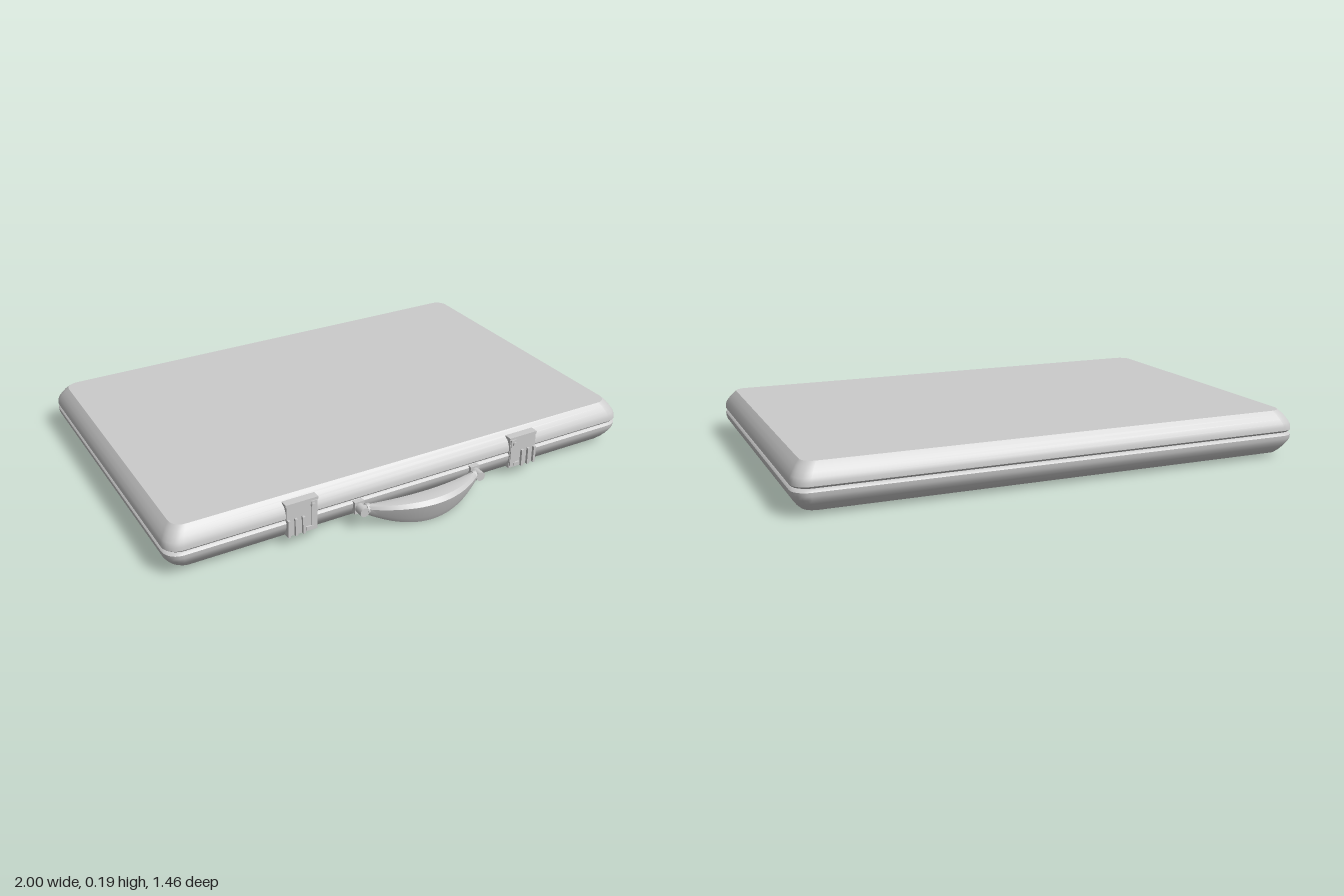
import * as THREE from 'three';
import { toCreasedNormals } from 'three/addons/utils/BufferGeometryUtils.js';

const material = new THREE.MeshStandardMaterial({ color: 0xcccccc });

function add(parent, name, geometry, x = 0, y = 0, z = 0) {
  const mesh = new THREE.Mesh(geometry, material);
  mesh.name = name;
  mesh.position.set(x, y, z);
  parent.add(mesh);
  return mesh;
}

// Skin over a list of closed rings of [x, y, z] points, with fan caps at both ends
function loft(rings, crease = 0.6) {
  const n = rings[0].length;
  const positions = rings.flat(2);
  const index = [];
  for (let i = 0; i < rings.length - 1; i++) {
    for (let j = 0; j < n; j++) {
      const k = (j + 1) % n;
      const a = i * n + j, b = i * n + k, c = a + n, d = b + n;
      index.push(a, c, b, b, c, d);
    }
  }
  const last = (rings.length - 1) * n;
  for (let j = 1; j < n - 1; j++) {
    index.push(0, j, j + 1);
    index.push(last, last + j + 1, last + j);
  }
  const geometry = new THREE.BufferGeometry();
  geometry.setAttribute('position', new THREE.Float32BufferAttribute(positions, 3));
  geometry.setIndex(index);
  return toCreasedNormals(geometry, crease);
}

// Rounded rectangle in the horizontal plane, shrunk by an inset
function caseRing(y, inset) {
  const ring = [], steps = 6, r = 0.06 - inset * 0.3;
  const w = 1 - inset - r, d = 0.66 - inset - r;
  for (let q = 0; q < 4; q++) {
    const sx = q === 0 || q === 3 ? 1 : -1, sz = q < 2 ? 1 : -1;
    for (let i = 0; i <= steps; i++) {
      const a = (q + i / steps) * Math.PI / 2;
      ring.push([sx * w + r * Math.cos(a), y, -0.07 + sz * d + r * Math.sin(a)]);
    }
  }
  return ring;
}

// Grip cross-section: small and round at the ends, a deep slanted slab in the middle
const gripMiddle = [[0.733, 0.088], [0.718, 0.104], [0.69, 0.109], [0.655, 0.104],
  [0.652, 0.085], [0.672, 0.03], [0.688, 0.008], [0.703, 0.004], [0.716, 0.03]];
function gripRing(t) {
  const s = 1 - t * t, n = gripMiddle.length;
  return gripMiddle.map(([z, y], i) => {
    const a = 0.3 + i / n * Math.PI * 2;
    return [t * 0.25,
      THREE.MathUtils.lerp(0.078 + 0.018 * Math.sin(a), y, s),
      THREE.MathUtils.lerp(0.618 + 0.014 * Math.cos(a), z, s)];
  });
}

function createLatch(side) {
  const latch = new THREE.Group();
  latch.name = side > 0 ? 'leftLatch' : 'rightLatch';
  const box = (name, x, y, z, w, h, d) =>
    add(latch, name, new THREE.BoxGeometry(w, h, d), side * x, y, z);

  // Upper plate, its mounting lip and the lower hinge plate
  box('latchPlate', 0.49, 0.143, 0.58, 0.124, 0.062, 0.028);
  box('latchLip', 0.49, 0.17, 0.577, 0.13, 0.01, 0.036);
  box('latchBase', 0.49, 0.077, 0.583, 0.122, 0.074, 0.02);
  // Slider track with its thumb button on the inner side
  box('latchTrack', 0.443, 0.107, 0.591, 0.024, 0.115, 0.014);
  box('latchFoot', 0.462, 0.055, 0.594, 0.03, 0.014, 0.012);
  const button = add(latch, 'latchButton', new THREE.CylinderGeometry(0.009, 0.009, 0.016, 12),
    side * 0.447, 0.148, 0.597);
  button.rotation.x = Math.PI / 2;
  // Ribs over the lower plate
  for (const x of [0.487, 0.517, 0.546]) box('latchRib', x, 0.076, 0.595, 0.01, 0.07, 0.018);
  return latch;
}

export function createModel() {
  const model = new THREE.Group();
  model.name = 'briefcase';

  // Lid and base: mirrored shells meeting at a narrow groove
  const profile = [[0, 0.014], [0.003, 0.006], [0.01, 0], [0.024, 0.001],
    [0.038, 0.006], [0.054, 0.016], [0.07, 0.028], [0.085, 0.043]];
  const seam = 0.105;
  add(model, 'lid', loft(profile.map(([h, inset]) => caseRing(seam + h, inset))));
  add(model, 'base', loft(profile.map(([h, inset]) => caseRing(seam - h, inset)).reverse()));

  // Handle: curved grip between two posts
  const handle = new THREE.Group();
  handle.name = 'handle';
  model.add(handle);
  const gripRings = [];
  for (let i = 0; i <= 24; i++) gripRings.push(gripRing(i / 12 - 1));
  add(handle, 'grip', loft(gripRings));
  for (const side of [-1, 1]) {
    const post = add(handle, 'handlePost', new THREE.CylinderGeometry(0.019, 0.019, 0.06, 12),
      side * 0.258, 0.078, 0.612);
    post.rotation.x = Math.PI / 2;
    add(handle, 'handleMount', new THREE.BoxGeometry(0.04, 0.05, 0.02), side * 0.258, 0.078, 0.592);
    const collar = add(handle, 'gripCollar', new THREE.CylinderGeometry(0.021, 0.021, 0.014, 12),
      side * 0.236, 0.078, 0.622);
    collar.rotation.z = Math.PI / 2;
  }

  for (const side of [-1, 1]) model.add(createLatch(side));
  return model;
}
